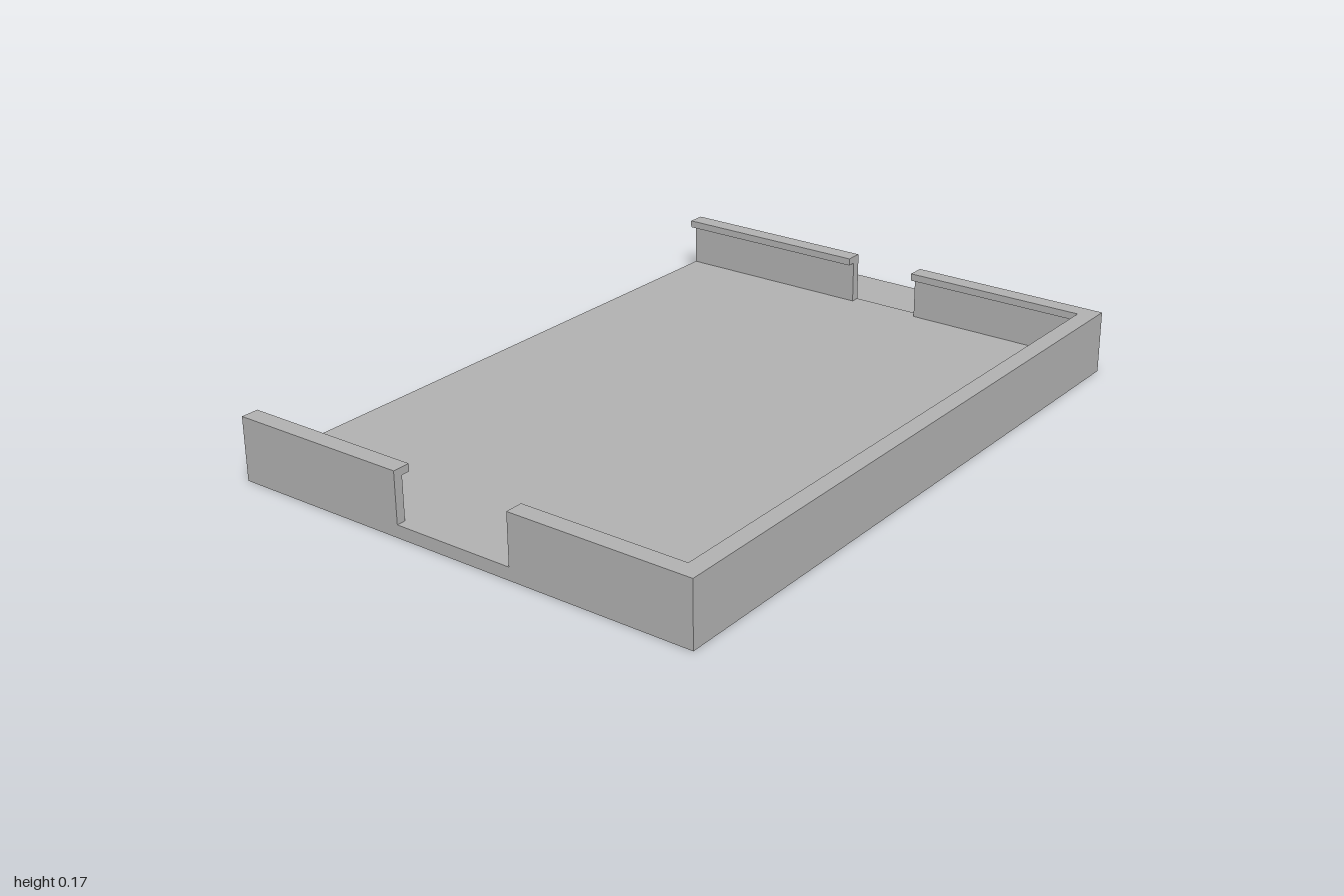
import * as THREE from 'three';

const LEFT = -1, RIGHT = 0.82, DEPTH = 0.67;
const FLOOR_TOP = 0.034, LIP_BOTTOM = 0.15, TOP = 0.17;

export function createModel() {
  const group = new THREE.Group();
  const grey = new THREE.MeshStandardMaterial({ color: 0xb0b0b0 });
  grey.name = 'grey';

  // Extrudes a plan outline of [x, z] points from y0 up to y1, with round holes [x, z, radius]
  function slab(name, points, y0, y1, holes = []) {
    const shape = new THREE.Shape(points.map(([x, z]) => new THREE.Vector2(x, -z)));
    for (const [x, z, r] of holes) {
      shape.holes.push(new THREE.Path().absarc(x, -z, r, 0, Math.PI * 2, true));
    }
    const geometry = new THREE.ExtrudeGeometry(shape, { depth: y1 - y0, bevelEnabled: false, curveSegments: 24 });
    geometry.rotateX(-Math.PI / 2).translate(0, y0, 0);
    const mesh = new THREE.Mesh(geometry, grey);
    mesh.name = name;
    group.add(mesh);
  }

  const rect = (x0, x1, z0, z1) => [[x0, z0], [x0, z1], [x1, z1], [x1, z0]];

  // Floor with two screw holes
  slab('floor', rect(LEFT, RIGHT, -DEPTH, DEPTH), 0, FLOOR_TOP,
    [[-0.82, -0.53, 0.025], [-0.82, 0.53, 0.025]]);

  // Mounting tab with two smaller holes
  slab('mountingTab', rect(RIGHT, 1, -0.335, 0.335), 0, 0.029,
    [[0.91, -0.247, 0.017], [0.91, 0.247, 0.017]]);

  // Front wall wrapping round both corners, and the two rear side walls;
  // thin uprights first, then the wider lip that overhangs inward
  const layers = [
    ['Wall', 0.025, FLOOR_TOP, LIP_BOTTOM],
    ['Lip', 0.048, LIP_BOTTOM, TOP],
  ];
  for (const [part, t, y0, y1] of layers) {
    slab('front' + part, [
      [LEFT, 0.167], [LEFT, DEPTH], [RIGHT, DEPTH], [RIGHT, 0.103],
      [RIGHT - t, 0.103], [RIGHT - t, DEPTH - t], [LEFT + t, DEPTH - t], [LEFT + t, 0.167],
    ], y0, y1);
    slab('rightRear' + part, rect(LEFT, LEFT + t, -DEPTH, -0.17), y0, y1);
    slab('leftRear' + part, rect(RIGHT - t, RIGHT, -DEPTH, -0.103), y0, y1);
  }

  return group;
}
